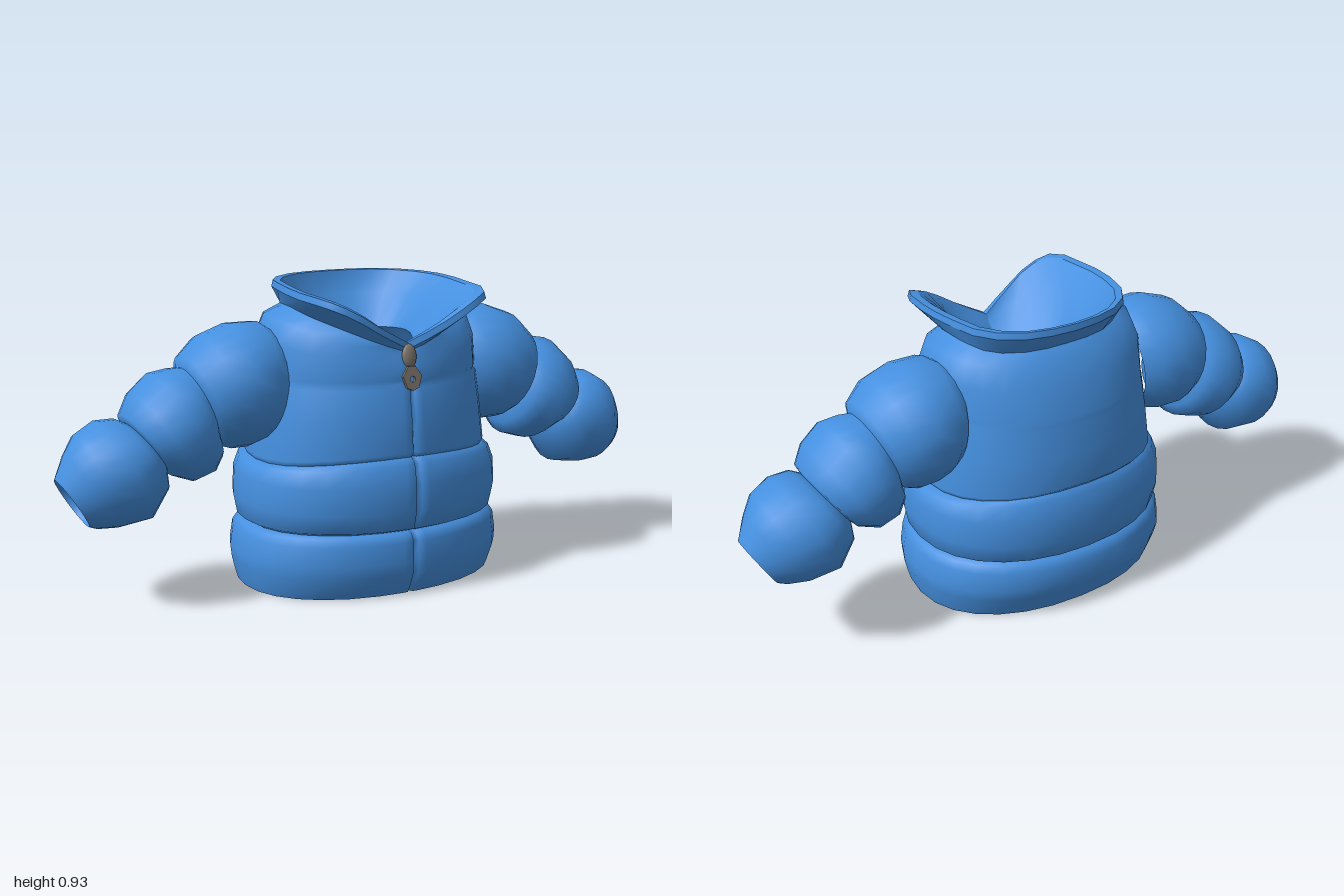
import * as THREE from 'three';

const blue = new THREE.MeshStandardMaterial({ color: 0x4590e0 });
blue.name = 'blue fabric';
const metal = new THREE.MeshStandardMaterial({ color: 0x7d756c });
metal.name = 'zipper metal';

// Angles around the torso, from the front, with extra ones beside the zip groove
const STEPS = 28;
const half = [0.014, 0.07];
for (let k = 1; k <= STEPS / 2; k++) half.push((k * 2 * Math.PI) / STEPS);
const angles = [0, ...half, ...half.slice(0, -1).reverse().map(a => 2 * Math.PI - a)];

// Skin closed rings of points into a smooth surface
function loft(rings) {
  const n = rings[0].length, pos = [], idx = [];
  rings.forEach(r => r.forEach(p => pos.push(p.x, p.y, p.z)));
  for (let i = 0; i < rings.length - 1; i++) {
    for (let j = 0; j < n; j++) {
      const k = (j + 1) % n;
      const a = i * n + j, b = i * n + k, c = b + n, d = a + n;
      idx.push(a, b, c, a, c, d);
    }
  }
  const g = new THREE.BufferGeometry();
  g.setAttribute('position', new THREE.Float32BufferAttribute(pos, 3));
  g.setIndex(idx);
  g.computeVertexNormals();
  return g;
}

function add(parent, name, geometry, material = blue) {
  const m = new THREE.Mesh(geometry, material);
  m.name = name;
  parent.add(m);
  return m;
}

// Torso ring: height, half width, front depth, back depth, drop at sides, front dip
function bodyRing([y, rx, zf, zb, drop = 0, dip = 0], groove = 0.016) {
  return angles.map(a => {
    const s = Math.sin(a), c = Math.cos(a), e = 2 / 2.2;
    const k = 1 - dip * Math.max(0, c);
    const x = Math.sign(s) * Math.abs(s) ** e * rx * k;
    const z = Math.sign(c) * Math.abs(c) ** e * (c > 0 ? zf : zb) * k;
    return new THREE.Vector3(x, y - drop * s * s, z - (a === 0 ? groove : 0));
  });
}

// Ring through a half outline running from the front to the back
function curveRing(points) {
  const curve = new THREE.CatmullRomCurve3(points.map(p => new THREE.Vector3(...p)));
  return angles.map(a => {
    const left = a <= Math.PI + 1e-6;
    const p = curve.getPoint(Math.min(1, (left ? a : 2 * Math.PI - a) / Math.PI));
    if (!left) p.x *= -1;
    return p;
  });
}

// Sleeve ring given by its top and bottom points and its half depth
function sleeveRing([tx, ty, bx, by, zh], side) {
  const n = 24, ring = [];
  for (let j = 0; j < n; j++) {
    const t = (side * j * 2 * Math.PI) / n, c = Math.cos(t) / 2;
    ring.push(new THREE.Vector3(
      side * ((tx + bx) / 2 + (tx - bx) * c),
      (ty + by) / 2 + (ty - by) * c,
      -0.014 + zh * Math.sin(t)));
  }
  return ring;
}

function buildTorso(group) {
  const seamLow = [0.2, 0.395, 0.305, 0.31];
  const seamHigh = [0.43, 0.378, 0.315, 0.315, 0.03];
  const hem = [0, 0.42, 0.3, 0.3];
  const hemInner = [0, 0.355, 0.245, 0.245];

  add(group, 'hemEdge', loft([bodyRing(hemInner), bodyRing(hem)]));
  add(group, 'lowerPanel', loft([hem, [0.02, 0.426, 0.311, 0.308], [0.07, 0.437, 0.333, 0.33],
    [0.11, 0.44, 0.335, 0.345], [0.17, 0.43, 0.333, 0.34], [0.192, 0.415, 0.32, 0.325],
    seamLow].map(r => bodyRing(r))));
  add(group, 'middlePanel', loft([seamLow, [0.212, 0.415, 0.335, 0.332], [0.27, 0.425, 0.35, 0.347],
    [0.35, 0.422, 0.35, 0.345], [0.412, 0.405, 0.336, 0.33, 0.02], seamHigh].map(r => bodyRing(r))));

  // Collar outlines: base on the shoulders, outer rim, throat and neck hole
  const base = curveRing([[0, 0.74, 0.27], [0.1, 0.775, 0.265], [0.19, 0.815, 0.2], [0.25, 0.845, 0.12],
    [0.27, 0.865, 0.03], [0.26, 0.865, -0.06], [0.22, 0.855, -0.13], [0.12, 0.855, -0.19], [0, 0.855, -0.2]]);
  const rim = curveRing([[0, 0.75, 0.276], [0.1, 0.8, 0.303], [0.2, 0.857, 0.312], [0.272, 0.89, 0.28],
    [0.295, 0.9, 0.15], [0.29, 0.91, 0], [0.25, 0.912, -0.14], [0.14, 0.914, -0.225], [0, 0.914, -0.245]]);
  const throat = curveRing([[0, 0.745, 0.245], [0.1, 0.79, 0.25], [0.17, 0.84, 0.22], [0.2, 0.86, 0.14],
    [0.2, 0.86, 0.05], [0.2, 0.86, -0.05], [0.17, 0.86, -0.13], [0.1, 0.86, -0.19], [0, 0.86, -0.21]]);
  const hole = curveRing([[0, 0.7, 0.19], [0.05, 0.71, 0.15], [0.1, 0.73, 0.11], [0.14, 0.75, 0.06],
    [0.15, 0.76, 0], [0.14, 0.76, -0.05], [0.11, 0.76, -0.09], [0.06, 0.76, -0.115], [0, 0.76, -0.12]]);

  // Shoulder rings climb towards the collar base
  const climb = (t, rx, zf, zb) => bodyRing([0, rx, zf, zb], 0.008).map((p, i) =>
    p.setY(0.665 + (base[i].y - 0.665) * t));
  add(group, 'upperPanel', loft([
    ...[seamHigh, [0.445, 0.385, 0.326, 0.33, 0.03], [0.55, 0.37, 0.316, 0.318], [0.638, 0.358, 0.302, 0.302],
      [0.65, 0.355, 0.3, 0.3, 0, 0.035], [0.662, 0.354, 0.298, 0.298]].map(r => bodyRing(r)),
    climb(0.5, 0.35, 0.287, 0.27), climb(0.85, 0.325, 0.278, 0.23), base]));

  const rimTop = rim.map(p => new THREE.Vector3(p.x * 0.985, p.y + 0.02, p.z * 0.985));
  const rimInner = rim.map(p => new THREE.Vector3(p.x * 0.9, p.y + 0.018, p.z * 0.93));
  add(group, 'collarOutside', loft([base, rim]));
  add(group, 'collarEdge', loft([rim, rimTop]));
  add(group, 'collarTop', loft([rimTop, rimInner]));
  add(group, 'collarInside', loft([rimInner, throat, hole]));
  add(group, 'lining', loft([hole, ...[[0.6, 0.27, 0.22, 0.22], [0.43, 0.31, 0.24, 0.24],
    [0.2, 0.33, 0.25, 0.25], hemInner].map(r => bodyRing(r))]));
}

function buildSleeve(side) {
  const sleeve = new THREE.Group();
  sleeve.name = side > 0 ? 'leftSleeve' : 'rightSleeve';
  const seam1 = [0.605, 0.7, 0.515, 0.47, 0.135];
  const seam2 = [0.78, 0.55, 0.675, 0.4, 0.12];
  const cuff = [0.998, 0.405, 0.912, 0.258, 0.082];
  const parts = {
    shoulderPuff: [[0.31, 0.79, 0.34, 0.47, 0.15], [0.36, 0.822, 0.38, 0.458, 0.19],
      [0.45, 0.822, 0.42, 0.445, 0.2], [0.54, 0.79, 0.47, 0.445, 0.195],
      [0.6, 0.735, 0.5, 0.455, 0.165], seam1],
    elbowPuff: [seam1, [0.64, 0.7, 0.505, 0.42, 0.165], [0.7, 0.69, 0.53, 0.38, 0.19],
      [0.76, 0.635, 0.595, 0.36, 0.185], [0.79, 0.575, 0.66, 0.385, 0.15], seam2],
    wristPuff: [seam2, [0.81, 0.565, 0.675, 0.345, 0.155], [0.87, 0.565, 0.73, 0.262, 0.178],
      [0.93, 0.53, 0.83, 0.248, 0.16], [0.965, 0.475, 0.89, 0.25, 0.12], cuff],
    cuffOpening: [cuff, [0.95, 0.415, 0.875, 0.285, 0.075], [0.85, 0.46, 0.79, 0.34, 0.07],
      [0.82, 0.4, 0.82, 0.4, 0]],
  };
  for (const [name, rings] of Object.entries(parts)) {
    add(sleeve, name, loft(rings.map(r => sleeveRing(r, side))));
  }
  return sleeve;
}

function buildZipper() {
  const zipper = new THREE.Group();
  zipper.name = 'zipper';
  const slider = add(zipper, 'zipperSlider', new THREE.SphereGeometry(1, 14, 10), metal);
  slider.scale.set(0.024, 0.036, 0.012);
  slider.position.y = 0.034;

  // Pull tab with a hole
  const shape = new THREE.Shape();
  [[-0.012, 0.035], [-0.032, 0.005], [-0.02, -0.03], [0, -0.038], [0.02, -0.03], [0.032, 0.005], [0.012, 0.035]]
    .forEach(([x, y], i) => (i ? shape.lineTo(x, y) : shape.moveTo(x, y)));
  const hole = new THREE.Path();
  hole.absarc(0, -0.004, 0.009, 0, Math.PI * 2, true);
  shape.holes.push(hole);
  const tab = add(zipper, 'pullTab', new THREE.ExtrudeGeometry(shape,
    { depth: 0.01, bevelEnabled: false, curveSegments: 8 }), metal);
  tab.position.set(0, -0.032, 0.002);

  zipper.position.set(0, 0.698, 0.288);
  zipper.rotation.x = -0.16;
  return zipper;
}

export function createModel() {
  const jacket = new THREE.Group();
  jacket.name = 'paddedJacket';
  const torso = new THREE.Group();
  torso.name = 'torso';
  buildTorso(torso);
  jacket.add(torso, buildSleeve(1), buildSleeve(-1), buildZipper());
  return jacket;
}
